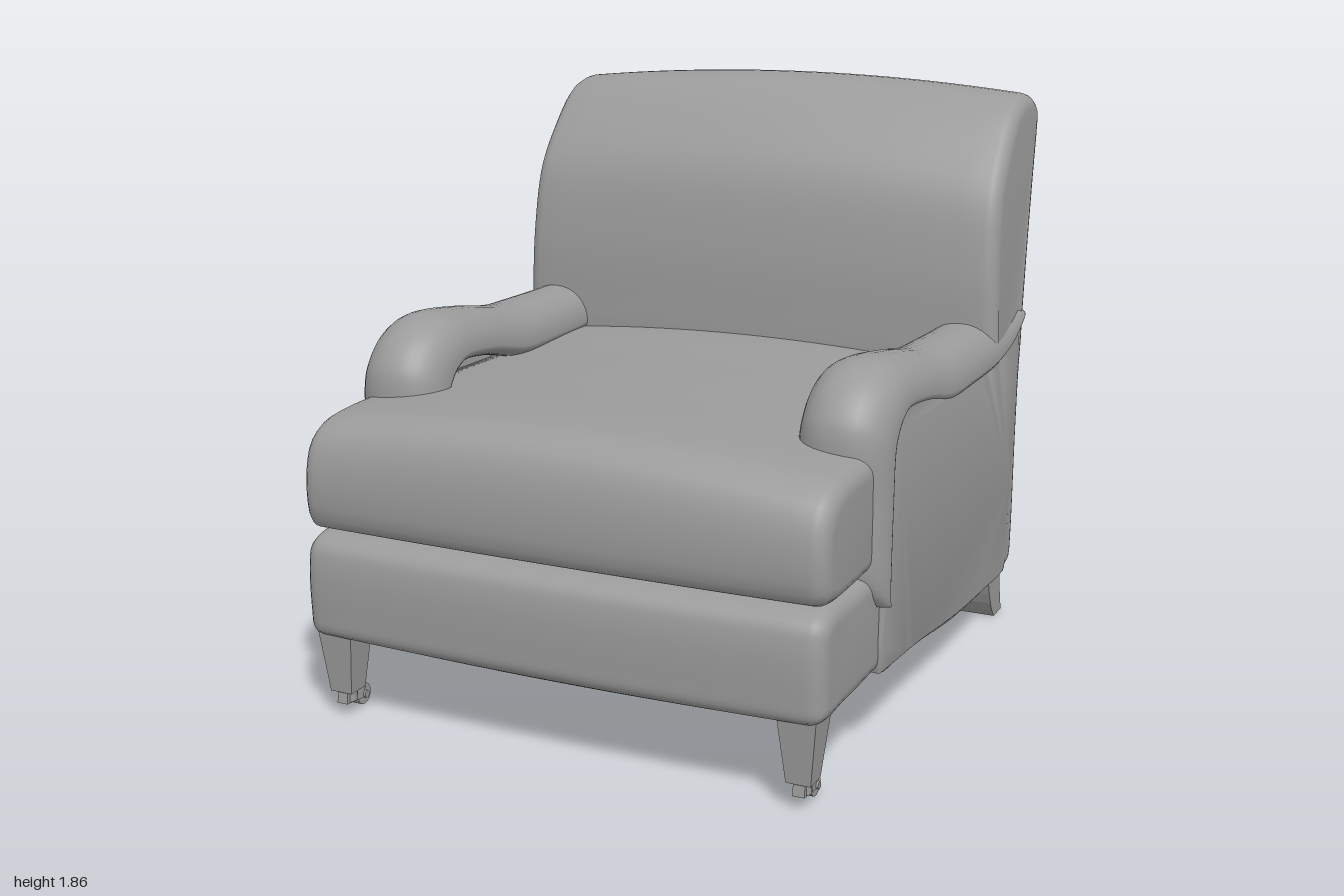
import * as THREE from 'three';
import { toCreasedNormals } from 'three/addons/utils/BufferGeometryUtils.js';

const GREY = 0x9b9b9b;
const material = new THREE.MeshStandardMaterial({ color: GREY });
const flat = new THREE.MeshStandardMaterial({ color: GREY, flatShading: true });
const clamp = (v) => Math.min(1, Math.max(0, v));
const bow = (x, w) => Math.max(0, 1 - (x / w) ** 2);

function add(parent, name, geometry, mat = material) {
  const mesh = new THREE.Mesh(geometry, mat);
  mesh.name = name;
  parent.add(mesh);
}

// Moves every vertex by a rule
function warp(geo, bend) {
  const pos = geo.attributes.position;
  const v = new THREE.Vector3();
  for (let i = 0; i < pos.count; i++) {
    v.fromBufferAttribute(pos, i);
    bend(v);
    pos.setXYZ(i, v.x, v.y, v.z);
  }
  return toCreasedNormals(geo, 0.8);
}

// Upholstered solid: smooth closed (z, y) side profile, swept from x0 to x1 with
// rounded ends, then bent by a rule.
function upholstery(profile, x0, x1, bevel, bend, steps = 20) {
  const curve = new THREE.CatmullRomCurve3(
    profile.map(([z, y]) => new THREE.Vector3(-z, y, 0)), true, 'centripetal');
  const outline = curve.getSpacedPoints(100).slice(0, -1).map((p) => new THREE.Vector2(p.x, p.y));
  const geo = new THREE.ExtrudeGeometry(new THREE.Shape(outline), {
    depth: x1 - x0 - 2 * bevel, steps, bevelEnabled: true, bevelSegments: 5,
    bevelSize: bevel, bevelOffset: -bevel, bevelThickness: bevel,
  });
  geo.rotateY(Math.PI / 2).translate(x0 + bevel, 0, 0);
  return warp(geo, bend);
}

// Thin strip of the underside frame, following the curved lower edge
function bottomStrip(width, x, z0, z1) {
  const lower = new THREE.SplineCurve([[-0.85, 0.176], [-0.5, 0.186], [-0.2, 0.205],
    [0.2, 0.25], [0.55, 0.272]].map(([z, y]) => new THREE.Vector2(z, y)));
  const geo = new THREE.BoxGeometry(width, 0.012, z1 - z0, 1, 1, 14);
  geo.translate(x, 0, (z0 + z1) / 2);
  return warp(geo, (v) => { v.y += lower.getPoint(clamp((v.z + 0.85) / 1.4)).y; });
}

// Padded arm roll: domed sections spanning an outer and an inner (z, y) edge.
function armRoll() {
  const edge = (pts) => new THREE.CatmullRomCurve3(
    pts.map(([z, y]) => new THREE.Vector3(0, y, z)), false, 'catmullrom', 0.5);
  const outer = edge([[0.56, 0.47], [0.645, 0.58], [0.655, 0.8], [0.66, 0.98], [0.63, 1.07],
    [0.55, 1.145], [0.42, 1.18], [0.2, 1.155], [0, 1.12], [-0.2, 1.11], [-0.5, 1.105],
    [-0.68, 1.12], [-0.77, 1.13], [-0.795, 1.11]]);
  const inner = edge([[0.52, 0.47], [0.51, 0.54], [0.5, 0.8], [0.49, 0.92], [0.465, 0.97],
    [0.43, 1.0], [0.37, 1.015], [0.2, 0.995], [0, 0.95], [-0.2, 0.945], [-0.47, 0.95],
    [-0.65, 0.985], [-0.75, 1.035], [-0.79, 1.08]]);
  const rows = 70, sides = 32, pos = [], idx = [];
  const power = (v, e) => Math.sign(v) * Math.abs(v) ** e;
  for (let i = 0; i <= rows; i++) {
    const u = i / rows;
    const a = inner.getPoint(u), b = outer.getPoint(u);
    const end = i === 0 || i === rows ? 0 : 1;
    const half = 0.142 - 0.018 * clamp((u - 0.45) / 0.4);
    const mid = a.clone().lerp(b, 0.25);
    for (let j = 0; j < sides; j++) {
      const t = (j / sides) * Math.PI * 2;
      const s = Math.sin(t) * end;
      const p = mid.clone().addScaledVector(b.clone().sub(a), s * (s > 0 ? 0.75 : 0.25));
      pos.push(0.877 - half + half * power(Math.cos(t), s > 0 ? 0.9 : 0.6) * end, p.y, p.z);
      if (i === rows) continue;
      const k = (j + 1) % sides;
      const A = i * sides + j, B = i * sides + k, C = A + sides, D = B + sides;
      idx.push(A, C, B, B, C, D);
    }
  }
  const geo = new THREE.BufferGeometry();
  geo.setAttribute('position', new THREE.Float32BufferAttribute(pos, 3));
  geo.setIndex(idx);
  geo.computeVertexNormals();
  return geo;
}

// Everything that exists once on each side, modelled at +x.
function sideParts() {
  const side = new THREE.Group();

  add(side, 'sidePanel', upholstery([
    [0.53, 0.27], [0.48, 0.265], [0.2, 0.243], [-0.2, 0.197], [-0.5, 0.178], [-0.74, 0.171],
    [-0.755, 0.18], [-0.755, 0.5], [-0.755, 1.0], [-0.74, 1.03], [-0.5, 0.99], [-0.1, 0.98],
    [0.2, 1.03], [0.38, 1.06], [0.47, 1.02], [0.53, 0.94], [0.535, 0.6], [0.54, 0.3],
  ], 0.83, 0.87, 0.012, (v) => { v.x -= 0.02 * (1 - v.y) / 0.8; }, 1));
  add(side, 'armRoll', armRoll());
  add(side, 'sideBottomStrip', bottomStrip(0.2, 0.745, -0.75, 0.5));

  // Tapered front leg on a caster
  const leg = new THREE.Group();
  leg.name = 'frontLeg';
  leg.position.set(0.757, 0, 0.9);
  add(leg, 'legPost', new THREE.CylinderGeometry(0.086, 0.053, 0.22, 4)
    .rotateY(Math.PI / 4).translate(0, 0.19, 0), flat);
  add(leg, 'casterStem', new THREE.CylinderGeometry(0.027, 0.027, 0.04, 12).translate(0, 0.063, 0));
  add(leg, 'casterFork', new THREE.BoxGeometry(0.036, 0.034, 0.095)
    .rotateX(-0.12).translate(0, 0.053, -0.015));
  add(leg, 'casterWheel', new THREE.CylinderGeometry(0.034, 0.034, 0.028, 18)
    .rotateZ(Math.PI / 2).translate(0, 0.04, -0.064));
  add(leg, 'casterAxle', new THREE.CylinderGeometry(0.012, 0.012, 0.05, 10)
    .rotateZ(Math.PI / 2).translate(0, 0.04, -0.064));
  side.add(leg);

  // Rear leg kicked out backwards
  const s = new THREE.Shape();
  s.moveTo(0.65, 0.2);
  s.quadraticCurveTo(0.68, 0.06, 0.745, 0);
  s.lineTo(0.83, 0);
  s.quadraticCurveTo(0.8, 0.09, 0.79, 0.2);
  add(side, 'rearLeg', new THREE.ExtrudeGeometry(s, { depth: 0.12, bevelEnabled: false, curveSegments: 5 })
    .rotateY(Math.PI / 2).translate(0.7, 0, 0), flat);
  return side;
}

export function createModel() {
  const chair = new THREE.Group();
  chair.name = 'armchair';

  // Backrest, thinning below the seat into the rear wall
  add(chair, 'backrest', upholstery([
    [-0.7, 0.19], [-0.69, 0.25], [-0.67, 0.6], [-0.63, 0.75], [-0.52, 0.83], [-0.47, 0.92],
    [-0.46, 1.1], [-0.468, 1.3], [-0.515, 1.52], [-0.62, 1.67], [-0.74, 1.78], [-0.86, 1.81],
    [-0.95, 1.795], [-0.995, 1.75], [-0.985, 1.69], [-0.93, 1.5], [-0.86, 1.24], [-0.805, 0.98],
    [-0.81, 0.7], [-0.84, 0.3], [-0.835, 0.2], [-0.8, 0.17], [-0.73, 0.172],
  ], -0.869, 0.869, 0.045, (v) => {
    const b = bow(v.x, 0.87);
    v.x *= 1 - 0.032 * clamp((v.y - 1) / 0.8) - 0.023 * clamp((1 - v.y) / 0.8);
    v.z += 0.03 * b * clamp((v.z + 0.85) / 0.3);
    v.y += 0.047 * b * clamp((v.y - 1.2) / 0.5);
  }));
  add(chair, 'rearBottomStrip', bottomStrip(1.3, 0, -0.76, -0.55));

  // Front rail below the cushion
  add(chair, 'frontRail', upholstery([
    [0.48, 0.275], [0.6, 0.268], [0.8, 0.268], [0.93, 0.268], [0.972, 0.285], [0.982, 0.35],
    [0.982, 0.5], [0.965, 0.56], [0.91, 0.59], [0.7, 0.59], [0.5, 0.59], [0.46, 0.56],
    [0.45, 0.4], [0.455, 0.3],
  ], -0.842, 0.842, 0.05, (v) => {
    const b = bow(v.x, 0.846);
    v.y -= 0.028 * b * clamp((0.4 - v.y) / 0.1) * clamp((0.98 - v.z) / 0.1);
    v.z += 0.016 * b * clamp((v.z - 0.5) / 0.4);
  }));

  // T-shaped seat cushion: the outer ends keep only the part ahead of the arms
  add(chair, 'seatCushion', upholstery([
    [-0.5, 0.6], [0, 0.6], [0.5, 0.6], [0.9, 0.6], [0.955, 0.62], [0.975, 0.68], [0.972, 0.8],
    [0.94, 0.88], [0.87, 0.925], [0.75, 0.94], [0.4, 0.94], [0, 0.94], [-0.5, 0.93],
    [-0.54, 0.88], [-0.54, 0.65],
  ], -0.843, 0.843, 0.05, (v) => {
    const b = bow(v.x, 0.843);
    if (Math.abs(v.x) > 0.7) v.z = Math.max(v.z, 0.6);
    v.y += 0.055 * b * clamp((v.y - 0.65) / 0.25);
    v.z += 0.015 * b * clamp((v.z - 0.6) / 0.3);
  }, 28));

  // Mirrored sides
  const left = sideParts();
  left.name = 'leftSide';
  const right = sideParts();
  right.name = 'rightSide';
  right.scale.x = -1;
  chair.add(left, right);
  return chair;
}
